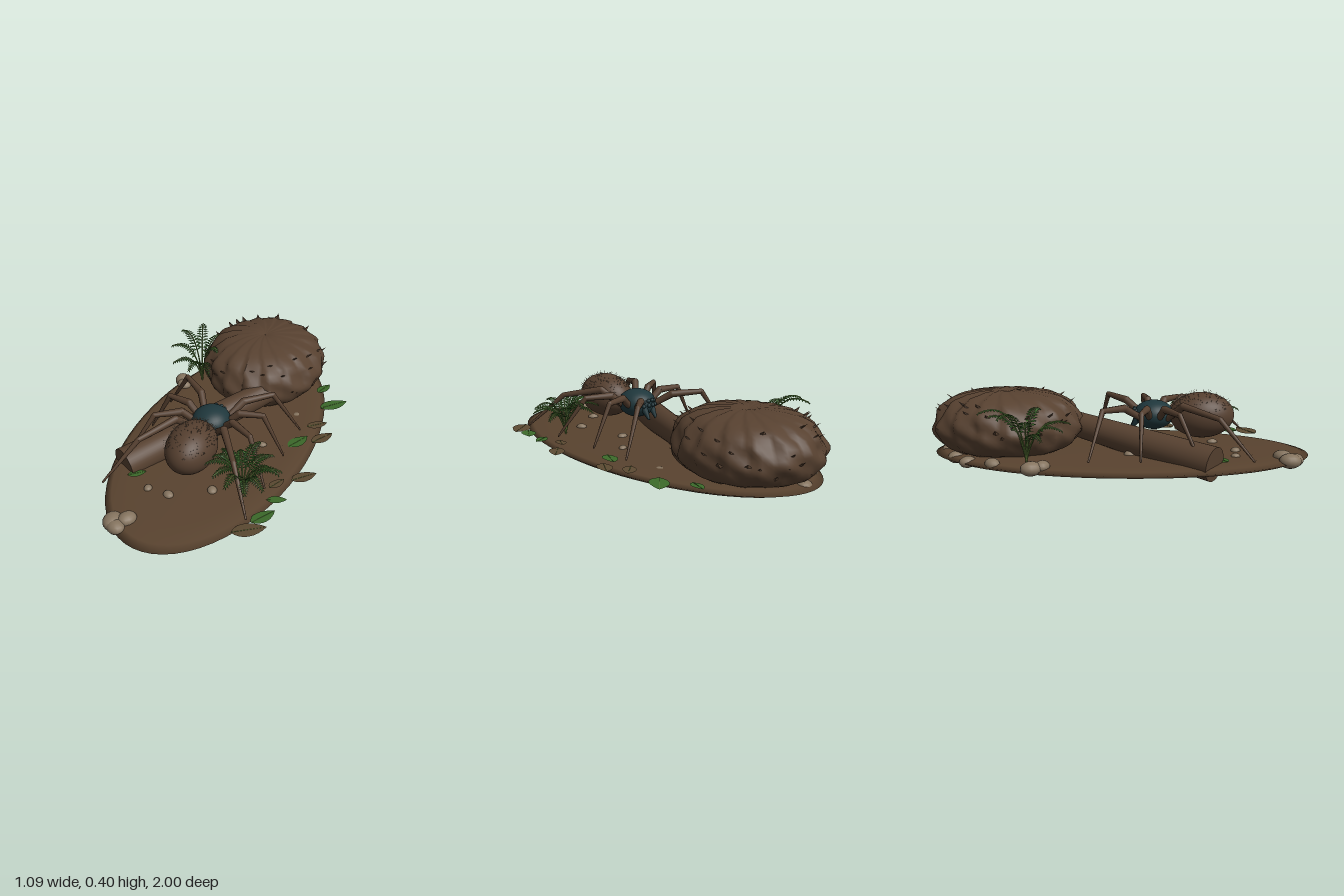
import * as THREE from 'three';
import { mergeGeometries } from 'three/addons/utils/BufferGeometryUtils.js';

const V = (x, y, z) => new THREE.Vector3(x, y, z);
const UP = V(0, 1, 0);
const CX = -0.035; // centre line of the spider

export function createModel() {
  const root = new THREE.Group();
  let seed = 7;
  const rnd = (a = 0, b = 1) => {
    seed = (seed * 16807) % 2147483647;
    return a + (b - a) * (seed / 2147483647);
  };
  const mat = (name, color, side = THREE.FrontSide) => {
    const m = new THREE.MeshStandardMaterial({ color, side });
    m.name = name;
    return m;
  };
  const soil = mat('soil brown', 0x59432f, THREE.DoubleSide);
  const bark = mat('bark brown', 0x574130, THREE.DoubleSide);
  const fur = mat('spider brown', 0x553f2f);
  const teal = mat('dark teal', 0x1f373c);
  const hairTan = mat('pale hair', 0xa08e78);
  const stone = mat('stone', 0x85745f);
  const green = mat('fern green', 0x3c6b2a, THREE.DoubleSide);
  const stemGreen = mat('stem green', 0x5d7a38);
  const dryLeaf = mat('dry leaf', 0x5c4a32, THREE.DoubleSide);

  const add = (name, geo, material, parent = root) => {
    const m = new THREE.Mesh(geo, material);
    m.name = name;
    parent.add(m);
    return m;
  };
  const group = (name) => {
    const g = new THREE.Group();
    g.name = name;
    root.add(g);
    return g;
  };
  const ball = (c, rx, ry, rz, ws = 32, hs = 20) =>
    new THREE.SphereGeometry(1, ws, hs).scale(rx, ry, rz).translate(c.x, c.y, c.z);
  // Tapered round bar between two points
  const bar = (a, b, ra, rb, sides = 8) => {
    const d = b.clone().sub(a);
    const g = new THREE.CylinderGeometry(rb, ra, d.length(), sides);
    g.applyQuaternion(new THREE.Quaternion().setFromUnitVectors(UP, d.clone().normalize()));
    const mid = a.clone().lerp(b, 0.5);
    return g.translate(mid.x, mid.y, mid.z);
  };

  // Oval ground slab
  const slab = [[0, 0.027], [0.8, 0.031], [0.95, 0.042], [1, 0.06], [0.95, 0.073], [0.8, 0.08], [0, 0.084]];
  add('ground', new THREE.LatheGeometry(slab.map(p => new THREE.Vector2(...p)), 64)
    .scale(0.492, 1, 0.99).translate(-0.035, 0, 0.005), soil);

  // Burrow mound with swirling, layered ridges
  const profile = new THREE.SplineCurve([[0.24, 0.07], [0.31, 0.1], [0.355, 0.17], [0.355, 0.23], [0.32, 0.3],
    [0.25, 0.352], [0.15, 0.378], [0.06, 0.386], [0.001, 0.378]].map(p => new THREE.Vector2(...p)));
  const mound = new THREE.LatheGeometry(profile.getPoints(26), 96);
  const mp = mound.attributes.position;
  for (let i = 0; i < mp.count; i++) {
    const x = mp.getX(i), y = mp.getY(i), z = mp.getZ(i), r = Math.hypot(x, z);
    const a = Math.atan2(z, x), t = r / 0.35;
    const phase = (17 * a + 5 * t) / (2 * Math.PI);
    const saw = phase - Math.floor(phase);
    const lump = Math.sin(5 * a + y * 31) * 0.016 + Math.sin(11 * a - y * 57) * 0.013;
    const k = 1 + t * (lump + 0.045 * (saw - 0.4));
    mp.setXYZ(i, x * k, y + 0.009 * t * (saw - 0.5), z * k);
  }
  mound.scale(0.96, 1, 1.09).translate(-0.02, 0, -0.6);
  mound.computeVertexNormals();
  add('burrowMound', mound, bark);

  // Loose flakes around the mound's rim
  const flakes = [];
  for (let i = 0; i < 44; i++) {
    const a = i * 2.4, u = rnd(0.15, 0.62), p = profile.getPoint(u);
    flakes.push(new THREE.ConeGeometry(0.032, 0.075, 4).scale(1, 1, 0.3).rotateX(0.9)
      .translate(0, p.y, p.x - 0.006).rotateY(a).scale(0.96, 1, 1.09).translate(-0.02, 0, -0.6));
  }
  add('moundFlakes', mergeGeometries(flakes), bark);

  // Leaning log running into the mound
  add('log', bar(V(-0.395, 0.088, 0.48), V(0.14, 0.2, -0.36), 0.088, 0.064, 32), bark);

  // Spider body, facing the mound
  const spider = group('spider');
  const abC = V(CX, 0.262, 0.432);
  add('abdomen', ball(abC, 0.123, 0.12, 0.17, 40, 28), fur, spider);
  add('headShield', ball(V(CX, 0.262, 0.18), 0.1, 0.077, 0.105, 32, 20), teal, spider);
  add('waist', ball(V(CX, 0.25, 0.28), 0.035, 0.03, 0.04, 16, 10), fur, spider);
  const face = [];
  for (const s of [-1, 1]) {
    add('fang', bar(V(CX + s * 0.028, 0.25, 0.1), V(CX + s * 0.026, 0.19, 0.06), 0.022, 0.006, 10), teal, spider);
    for (const e of [[0.014, 0.29, 0.078], [0.036, 0.285, 0.088], [0.014, 0.265, 0.073], [0.042, 0.262, 0.085]])
      face.push(ball(V(CX + s * e[0], e[1], e[2]), 0.011, 0.011, 0.011, 10, 8));
  }
  add('eyes', mergeGeometries(face), teal, spider);

  // Eight jointed legs: [x, y, z] joints from hip to foot
  const legs = [
    [[0.06, 0.25, 0.12], [0.12, 0.315, 0.03], [0.245, 0.325, -0.075], [0.385, 0.1, -0.135]],
    [[0.07, 0.25, 0.16], [0.14, 0.315, 0.145], [0.26, 0.315, 0.12], [0.375, 0.1, 0.12]],
    [[0.07, 0.25, 0.205], [0.14, 0.315, 0.235], [0.26, 0.31, 0.31], [0.375, 0.1, 0.41]],
    [[0.06, 0.25, 0.25], [0.13, 0.33, 0.33], [0.25, 0.29, 0.51], [0.375, 0.11, 0.67]],
  ];
  const radii = [0.017, 0.02, 0.014, 0.005];
  const hairs = [];
  for (const s of [-1, 1]) for (const joints of legs) {
    const pts = joints.map(j => V(CX + s * j[0], j[1], j[2]));
    const parts = [];
    for (let i = 0; i < 3; i++) {
      parts.push(bar(pts[i], pts[i + 1], radii[i], radii[i + 1], 10));
      parts.push(ball(pts[i + 1], radii[i + 1], radii[i + 1], radii[i + 1], 10, 8));
    }
    add('leg', mergeGeometries(parts), fur, spider);
    for (let i = 0; i < 14; i++) {
      const p = pts[2].clone().lerp(pts[3], rnd(0.3, 1));
      hairs.push(bar(p, p.clone().add(V(rnd(-0.018, 0.018), rnd(0, 0.012), rnd(-0.018, 0.018))), 0.0009, 0.0003, 3));
    }
  }
  // Bristles on the upper abdomen
  for (let i = 0; i < 230; i++) {
    const a = rnd(0, Math.PI * 2), h = rnd(0.3, 1), q = Math.sqrt(1 - h * h);
    const n = V(q * Math.cos(a), h, q * Math.sin(a));
    const p = n.clone().multiply(V(0.122, 0.119, 0.169)).add(abC);
    hairs.push(bar(p, p.clone().addScaledVector(n, rnd(0.008, 0.02)), 0.001, 0.0004, 3));
  }
  add('bristles', mergeGeometries(hairs), hairTan, spider);

  // Fern: arching stems with paired leaflets; fronds are [angle, reach, tip height]
  const fern = (name, base, fronds) => {
    const g = group(name), stems = [], leaflets = [];
    for (const [a, reach, tipY] of fronds) {
      const out = V(Math.cos(a), 0, Math.sin(a));
      const curve = new THREE.QuadraticBezierCurve3(base,
        base.clone().addScaledVector(out, reach * 0.25).setY(tipY + 0.08),
        base.clone().addScaledVector(out, reach).setY(tipY));
      stems.push(new THREE.TubeGeometry(curve, 12, 0.004, 5));
      for (let i = 0; i < 13; i++) {
        const t = 0.36 + 0.64 * i / 12, p = curve.getPoint(t), dir = curve.getTangent(t);
        const side = V(-out.z, 0, out.x), len = 0.042 * (1 - 0.75 * ((t - 0.36) / 0.64) ** 2);
        for (const s of [-1, 1]) {
          const d = side.clone().multiplyScalar(s).addScaledVector(dir, 0.4).normalize();
          const w = dir.clone().multiplyScalar(0.006);
          const m = p.clone().addScaledVector(d, len * 0.45);
          const tip = p.clone().addScaledVector(d, len).add(V(0, -0.007, 0));
          const l = m.clone().sub(w), r = m.clone().add(w);
          const quad = s < 0 ? [p, l, tip, p, tip, r] : [p, r, tip, p, tip, l];
          leaflets.push(new THREE.BufferGeometry().setFromPoints(quad));
        }
      }
    }
    const leafGeo = mergeGeometries(leaflets);
    leafGeo.computeVertexNormals();
    add('fernStems', mergeGeometries(stems), stemGreen, g);
    add('fernLeaflets', leafGeo, green, g);
  };
  fern('frontFern', V(0.245, 0.08, 0.465), Array.from({ length: 12 }, (_, i) =>
    [i * Math.PI / 6 + 0.1, rnd(0.15, 0.195), rnd(0.19, 0.27)]));
  fern('rearFern', V(-0.36, 0.08, -0.45), [[1.0, 0.24, 0.25], [1.6, 0.18, 0.24], [2.55, 0.17, 0.22],
    [3.0, 0.18, 0.29], [3.7, 0.2, 0.33], [4.35, 0.23, 0.34], [4.9, 0.22, 0.29], [0.4, 0.14, 0.32]]);

  // Fallen leaves: [x, z, heading, length, dry]
  const leafShape = new THREE.Shape();
  leafShape.moveTo(0, -0.5);
  leafShape.bezierCurveTo(0.42, -0.3, 0.36, 0.15, 0, 0.5);
  leafShape.bezierCurveTo(-0.36, 0.15, -0.42, -0.3, 0, -0.5);
  const litter = group('fallenLeaves');
  for (const [x, z, turn, len, dry] of [
    [0.45, -0.46, -0.8, 0.17, 0], [0.35, -0.61, -0.4, 0.11, 0], [0.48, -0.12, -0.6, 0.14, 1],
    [0.42, -0.23, -0.9, 0.12, 1], [0.37, -0.04, -0.5, 0.14, 0], [0.49, 0.24, -0.8, 0.14, 1],
    [0.40, 0.60, -0.6, 0.14, 0], [0.37, 0.71, -1.0, 0.17, 1], [-0.30, 0.52, -0.9, 0.1, 0],
    [0.38, 0.34, -0.5, 0.1, 1], [0.42, 0.46, -1.2, 0.1, 0]]) {
    const geo = new THREE.ShapeGeometry(leafShape, 8).scale(len, len, len).rotateX(-Math.PI / 2);
    const leaf = add('leaf', geo, dry ? dryLeaf : green, litter);
    leaf.position.set(x, 0.088, z);
    leaf.rotation.set(0.05, turn, 0.12);
    add('leafRib', bar(V(0, 0.001, len * 0.5), V(0, 0.001, -len * 0.48), 0.0015, 0.0007, 4), stemGreen, leaf);
  }

  // Stones: larger ones at the rim, then pebbles: [x, y, z, radius]
  const stones = group('stones');
  for (const [x, y, z, r] of [
    [-0.25, 0.072, 0.87, 0.058], [-0.19, 0.08, 0.84, 0.05], [-0.22, 0.07, 0.9, 0.05],
    [-0.47, 0.076, -0.41, 0.055], [-0.44, 0.08, -0.36, 0.045], [-0.37, 0.07, -0.62, 0.045],
    [-0.3, 0.06, -0.76, 0.045], [-0.2, 0.06, -0.84, 0.05], [-0.05, 0.06, -0.92, 0.045],
    [-0.19, 0.08, 0.06, 0.034], [-0.085, 0.08, 0.61, 0.03], [0.1, 0.08, 0.5, 0.03], [0.06, 0.08, 0.2, 0.03],
    [0.2, 0.08, 0.05, 0.025], [0.28, 0.06, -0.3, 0.036], [-0.2, 0.08, 0.6, 0.025]]) {
    const s = add('stone', ball(V(0, 0, 0), r, r * 0.66, r * 0.82, 14, 10), stone, stones);
    s.position.set(x, y, z);
    s.rotation.y = rnd(0, 3);
  }
  return root;
}
